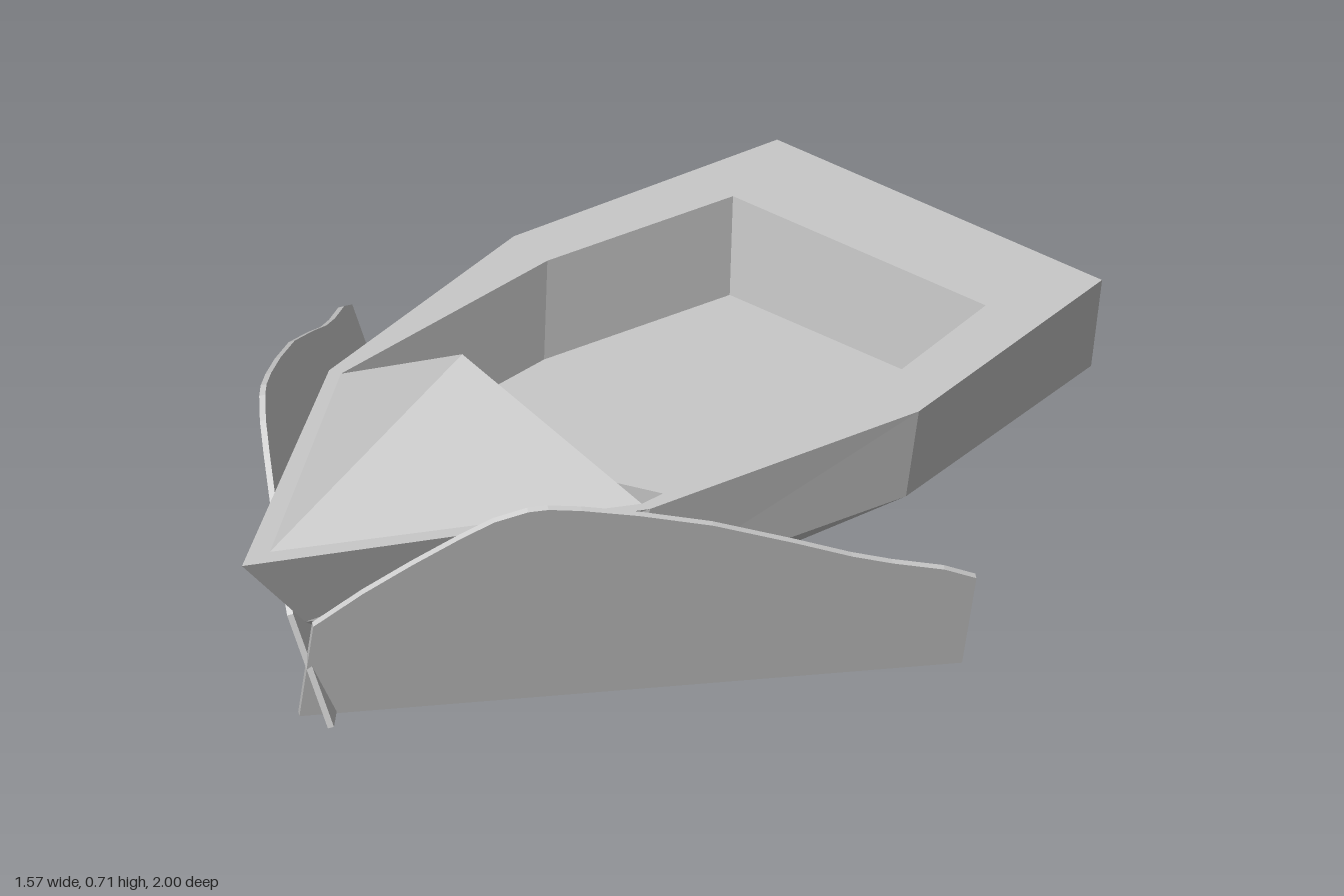
import * as THREE from 'three';

const material = new THREE.MeshStandardMaterial({ color: 0xcccccc, flatShading: true, side: THREE.DoubleSide });

// Flat-faced mesh from the polygons of the +x half, mirrored to -x
function mirroredMesh(name, polygons) {
  const positions = [];
  const addFan = (p) => {
    for (let i = 1; i < p.length - 1; i++) positions.push(...p[0], ...p[i], ...p[i + 1]);
  };
  for (const polygon of polygons) {
    addFan(polygon);
    addFan(polygon.map(([x, y, z]) => [-x, y, z]).reverse());
  }
  const geometry = new THREE.BufferGeometry();
  geometry.setAttribute('position', new THREE.Float32BufferAttribute(positions, 3));
  geometry.computeVertexNormals();
  const mesh = new THREE.Mesh(geometry, material);
  mesh.name = name;
  return mesh;
}

function createBoat() {
  const boat = new THREE.Group();
  boat.name = 'boat';

  // Hull: half sections from rim to keel, stern to bow
  const section = (z, rim, chine) => [[rim, 0, z], [chine, -0.19, z], [0.21, -0.34, z], [0, -0.43, z]];
  const sections = [
    section(-1, 0.405, 0.385),
    section(-0.36, 0.505, 0.48),
    section(0.29, 0.4, 0.37),
    [[0, 0, 1], [0, -0.19, 0.81], [0, -0.34, 0.6], [0, -0.43, 0.31]],
  ];
  const hull = [[[0, 0, -1], ...sections[0]]];
  for (let i = 0; i < 3; i++) {
    for (let j = 0; j < 3; j++) {
      hull.push([sections[i][j], sections[i + 1][j], sections[i + 1][j + 1], sections[i][j + 1]]);
    }
  }
  boat.add(mirroredMesh('hull', hull));

  // Deck rim around the cockpit and cabin
  const outer = [[0, 0, -1], ...sections.map((s) => s[0])];
  const inner = [[0, 0, -0.77], [0.315, 0, -0.77], [0.395, 0, -0.33], [0.375, 0, 0.285], [0, 0, 0.92]];
  const rim = [];
  for (let i = 0; i < 4; i++) rim.push([outer[i], inner[i], inner[i + 1], outer[i + 1]]);
  boat.add(mirroredMesh('deckRim', rim));

  // Cockpit walls and floor
  const depth = 0.21;
  const lower = ([x, , z]) => [x, -depth, z];
  const walls = [];
  for (let i = 0; i < 3; i++) walls.push([inner[i], lower(inner[i]), lower(inner[i + 1]), inner[i + 1]]);
  boat.add(mirroredMesh('cockpitWalls', walls));
  const corner = inner[3];
  const middle = [0, 0, 0.365];
  boat.add(mirroredMesh('cockpitFloor', [[...inner.slice(0, 4), middle].map(lower).reverse()]));

  // Sloping dashboard with an upright front
  const dashSide = [0.38, -0.068, 0.1];
  const dashMiddle = [0, -0.09, 0.18];
  boat.add(mirroredMesh('dashboard', [
    [corner, dashSide, dashMiddle, middle],
    [dashSide, lower(dashSide), lower(dashMiddle), dashMiddle],
  ]));

  // Peaked foredeck cabin
  const peak = [0, 0.215, 0.378];
  boat.add(mirroredMesh('cabin', [[corner, peak, inner[4]], [corner, middle, peak]]));

  // Bow raised slightly
  boat.rotation.x = -0.045;
  boat.position.y = 0.475;
  return boat;
}

// Thin sheet of spray, leaning outward from the bow
function createSpray() {
  const origin = new THREE.Vector3(-0.04, 0.095, 0.79);
  const outline = [
    [-0.04, 0.095, 0.79], [0.715, 0.05, -0.24], [0.775, 0.275, -0.21], [0.75, 0.305, -0.15],
    [0.7, 0.335, -0.06], [0.66, 0.365, 0.01], [0.6, 0.42, 0.11], [0.52, 0.49, 0.25],
    [0.45, 0.535, 0.38], [0.39, 0.565, 0.475], [0.355, 0.577, 0.53], [0.33, 0.577, 0.56],
    [0.29, 0.558, 0.61], [0.24, 0.525, 0.65], [0.17, 0.468, 0.71], [0.1, 0.405, 0.77], [0.03, 0.33, 0.83],
  ].map((p) => new THREE.Vector3(...p).sub(origin));
  const along = outline[1].clone().normalize();
  const normal = along.clone().cross(new THREE.Vector3(0.266, 1, 0.195)).normalize();
  const up = normal.clone().cross(along);
  const shape = new THREE.Shape(outline.map((p) => new THREE.Vector2(p.dot(along), p.dot(up))));
  const geometry = new THREE.ExtrudeGeometry(shape, { depth: 0.012, bevelEnabled: false });
  geometry.translate(0, 0, -0.006);
  geometry.applyMatrix4(new THREE.Matrix4().makeBasis(along, up, normal).setPosition(origin));
  return geometry;
}

export function createModel() {
  const model = new THREE.Group();
  model.name = 'speedboat';
  model.add(createBoat());
  const spray = createSpray();
  for (const side of [1, -1]) {
    const mesh = new THREE.Mesh(spray, material);
    mesh.name = side > 0 ? 'leftSpray' : 'rightSpray';
    mesh.scale.x = side;
    model.add(mesh);
  }
  return model;
}
